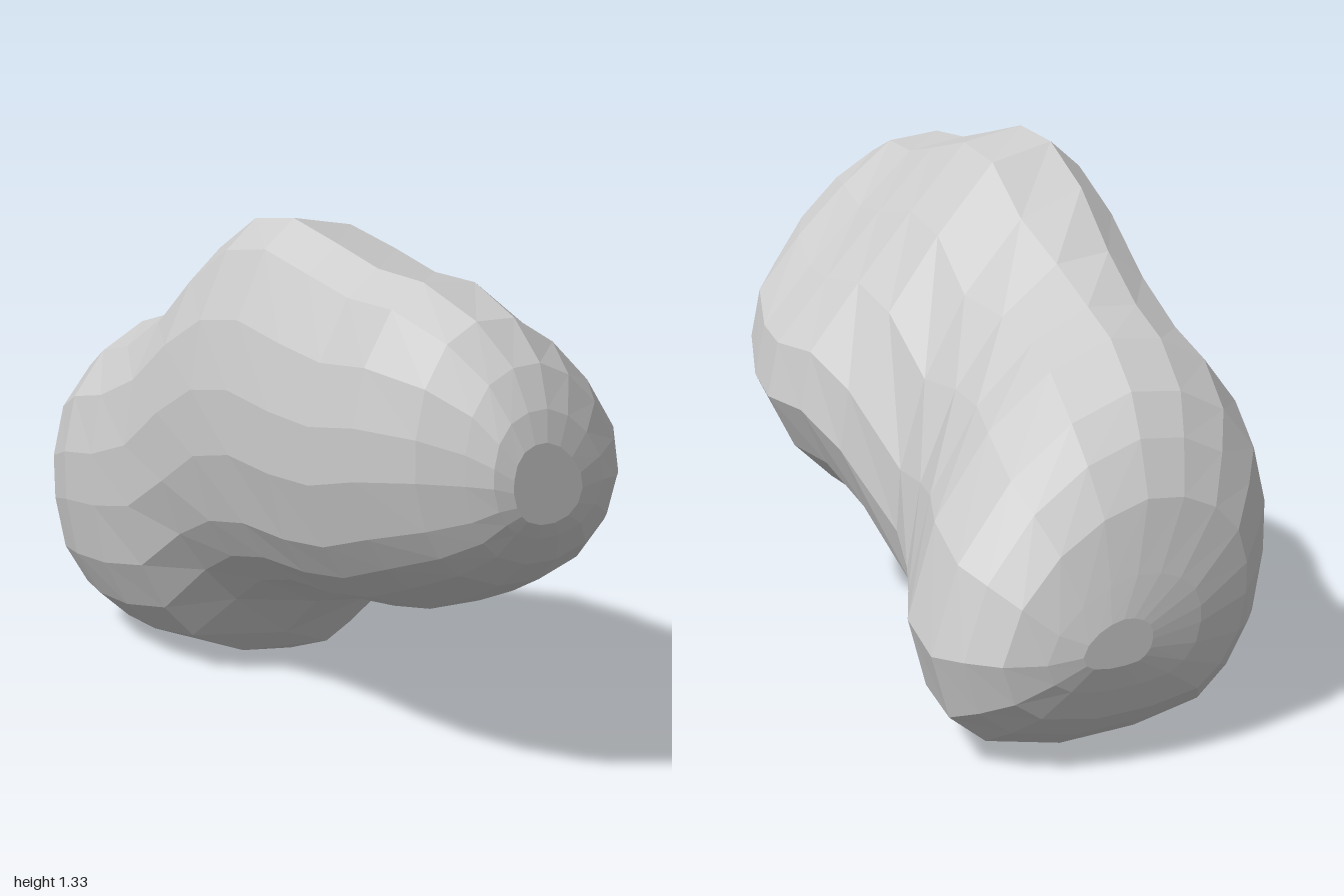
import * as THREE from 'three';

// Unit outlines [z, y], from the crest over the back, under the base and up the front
const LOW = [
  [0.45, 0.97], [0.15, 1], [-0.2, 0.86], [-0.55, 0.58], [-0.85, 0.15], [-1, -0.35], [-0.9, -0.72], [-0.69, -0.9],
  [-0.25, -1], [0.2, -0.98], [0.6, -0.89], [0.79, -0.7], [0.94, -0.41], [1, -0.05], [1, 0.25], [0.92, 0.58], [0.72, 0.83],
];
const NECK = [
  [0.45, 1], [-0.03, 0.88], [-0.47, 0.56], [-0.78, 0.2], [-0.97, -0.2], [-1, -0.48], [-0.87, -0.76], [-0.68, -0.93],
  [-0.45, -1], [-0.08, -0.9], [0.36, -0.67], [0.62, -0.49], [0.83, -0.29], [0.97, -0.02], [1, 0.3], [0.92, 0.6], [0.7, 0.87],
];
const HIGH = [
  [0.53, 1], [0.13, 0.93], [-0.24, 0.59], [-0.6, 0.24], [-0.93, -0.1], [-1, -0.4], [-0.83, -0.7], [-0.58, -0.91],
  [-0.24, -1], [0.13, -0.97], [0.57, -0.81], [0.76, -0.66], [0.9, -0.46], [1, -0.1], [1, 0.22], [0.92, 0.55], [0.73, 0.87],
];
const ROUND = [
  [0.42, 0.99], [0.08, 0.99], [-0.3, 0.82], [-0.66, 0.5], [-0.93, 0.08], [-1, -0.3], [-0.88, -0.66], [-0.6, -0.9],
  [-0.2, -1], [0.2, -0.97], [0.58, -0.82], [0.76, -0.65], [0.9, -0.42], [1, -0.05], [1, 0.25], [0.92, 0.6], [0.72, 0.87],
];
const OUTLINES = [LOW, NECK, HIGH, ROUND];
const SIDES = LOW.length;

// Cross-sections along the body: x, bottom, top, back z, front z, outline (0 low, 1 neck, 2 high, 3 round)
const SECTIONS = [
  [-1.0, 0.26, 0.37, -0.21, -0.03, 0],
  [-0.98, 0.2, 0.46, -0.29, 0.11, 0],
  [-0.94, 0.12, 0.62, -0.38, 0.26, 0],
  [-0.87, 0.06, 0.74, -0.44, 0.34, 0],
  [-0.79, 0.01, 0.83, -0.48, 0.41, 0],
  [-0.63, 0.02, 0.92, -0.46, 0.465, 0],
  [-0.47, 0.02, 0.97, -0.38, 0.475, 0.1],
  [-0.3, 0.0, 1.07, -0.3, 0.475, 0.45],
  [-0.14, 0.07, 1.2, -0.25, 0.475, 1],
  [0.02, 0.24, 1.3, -0.33, 0.475, 1.7],
  [0.18, 0.32, 1.325, -0.37, 0.475, 2],
  [0.35, 0.34, 1.29, -0.39, 0.475, 2],
  [0.51, 0.385, 1.26, -0.36, 0.475, 2.05],
  [0.68, 0.47, 1.26, -0.3, 0.475, 2.3],
  [0.84, 0.56, 1.2, -0.18, 0.425, 2.7],
  [0.93, 0.64, 1.11, -0.09, 0.36, 3],
  [0.98, 0.72, 1.02, 0.0, 0.32, 3],
  [1.0, 0.76, 0.95, 0.08, 0.28, 3],
];

// Outline corner, blended between neighbouring outlines and fitted to the section
function ringPoint([x, bottom, top, back, front, blend], j) {
  const k = Math.min(Math.floor(blend), OUTLINES.length - 2);
  const [u, v] = [0, 1].map((c) => THREE.MathUtils.lerp(OUTLINES[k][j][c], OUTLINES[k + 1][j][c], blend - k));
  return [x, (bottom + top + (top - bottom) * v) / 2, (back + front + (front - back) * u) / 2];
}

function loft(sections) {
  const points = [];
  const index = [];
  for (const s of sections) {
    for (let j = 0; j < SIDES; j++) points.push(...ringPoint(s, j));
  }
  const last = sections.length - 1;
  for (let i = 0; i < last; i++) {
    for (let j = 0; j < SIDES; j++) {
      const a = i * SIDES + j, b = i * SIDES + ((j + 1) % SIDES);
      index.push(a, a + SIDES, b, b, a + SIDES, b + SIDES);
    }
  }
  // End caps
  for (const i of [0, last]) {
    const [x, bottom, top, back, front] = sections[i];
    const centre = points.length / 3;
    points.push(x, (bottom + top) / 2, (back + front) / 2);
    for (let j = 0; j < SIDES; j++) {
      const a = i * SIDES + j, b = i * SIDES + ((j + 1) % SIDES);
      if (i === 0) index.push(centre, a, b);
      else index.push(centre, b, a);
    }
  }
  const geometry = new THREE.BufferGeometry();
  geometry.setAttribute('position', new THREE.Float32BufferAttribute(points, 3));
  geometry.setIndex(index);
  geometry.computeVertexNormals();
  return geometry;
}

export function createModel() {
  const group = new THREE.Group();
  group.name = 'rock';
  // Two-lobed faceted stone
  const body = new THREE.Mesh(
    loft(SECTIONS),
    new THREE.MeshStandardMaterial({ color: 0xcccccc, flatShading: true })
  );
  body.name = 'rockBody';
  group.add(body);
  return group;
}
